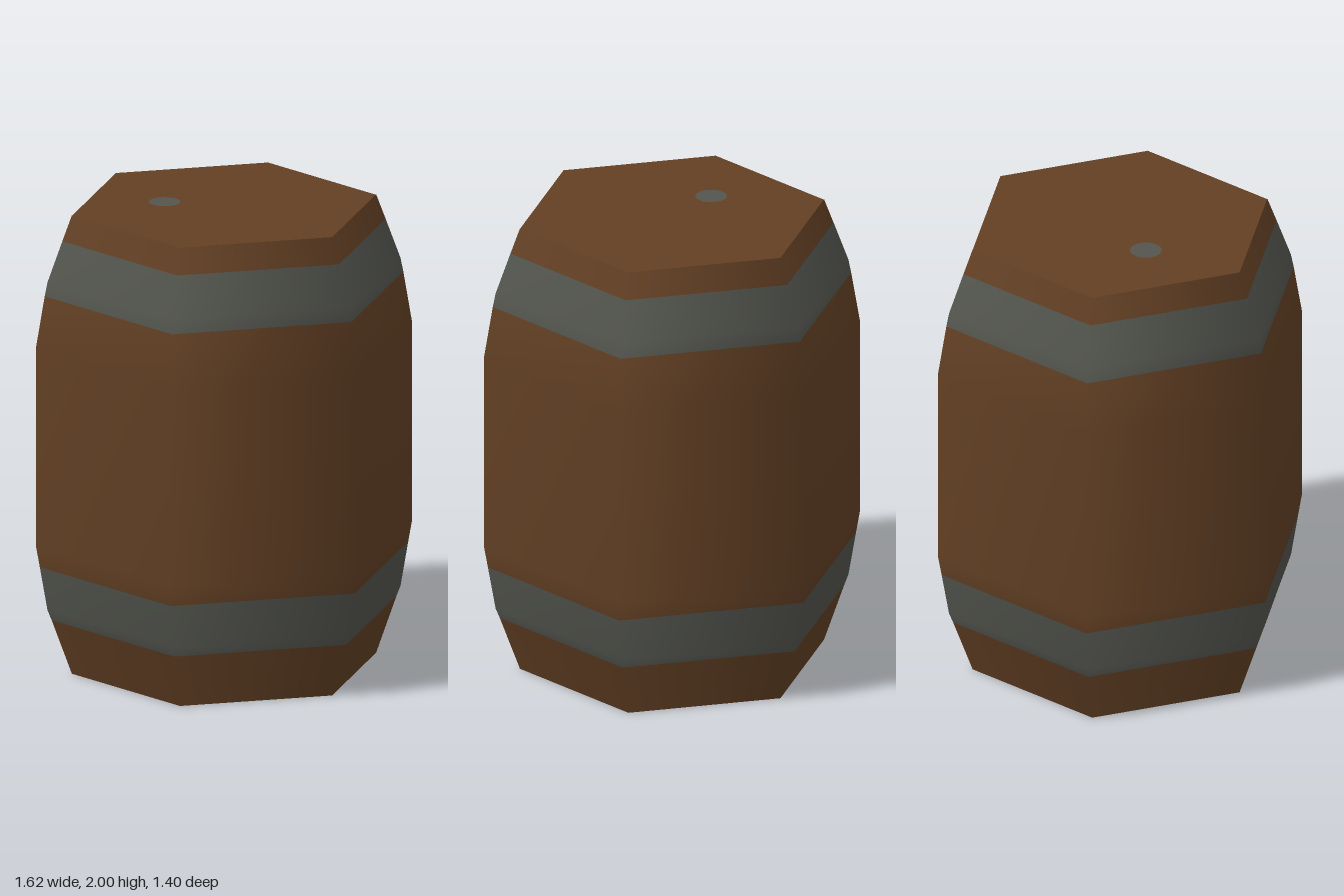
import * as THREE from 'three';

export function createModel() {
  const barrel = new THREE.Group();
  barrel.name = 'barrel';

  const wood = new THREE.MeshStandardMaterial({ color: 0x634024 });
  wood.name = 'brown wood';
  const iron = new THREE.MeshStandardMaterial({ color: 0x53554e });
  iron.name = 'grey iron';

  const SIDES = 6;
  const END_RADIUS = 0.655;

  // Bulging hexagonal wall: [radius, height], bottom to top
  const profile = [
    [END_RADIUS, 0], [0.742, 0.24], [0.76, 0.285], [0.793, 0.475], [0.81, 0.57],
    [0.81, 1.43], [0.772, 1.655], [0.76, 1.715], [0.696, 1.89], [END_RADIUS, 2],
  ].map(([r, y]) => new THREE.Vector2(r, y));
  const wallGeometry = new THREE.LatheGeometry(profile, SIDES, Math.PI / 2);

  // The hoops lie flush in the wall, so they are material groups of its rows
  const hoopRows = [1, 2, 6, 7];
  const rows = profile.length - 1;
  for (let side = 0; side < SIDES; side++) {
    for (let row = 0; row < rows; row++) {
      wallGeometry.addGroup((side * rows + row) * 6, 6, hoopRows.includes(row) ? 1 : 0);
    }
  }
  const wall = new THREE.Mesh(wallGeometry, [wood, iron]);
  wall.name = 'stavesAndHoops';
  barrel.add(wall);

  // Flat lid and base, each with a small round bung
  const addEnd = (endName, y, up) => {
    const end = new THREE.Group();
    end.name = endName;
    const board = new THREE.Mesh(new THREE.CircleGeometry(END_RADIUS, SIDES), wood);
    board.name = endName + 'Board';
    const bung = new THREE.Mesh(new THREE.CircleGeometry(0.067, 16), iron);
    bung.name = endName + 'Bung';
    bung.position.set(-0.205, -0.147, 0.002);
    end.add(board, bung);
    end.rotation.x = -up * Math.PI / 2;
    end.position.y = y;
    barrel.add(end);
  };
  addEnd('lid', 1.998, 1);
  addEnd('base', 0.002, -1);

  return barrel;
}
